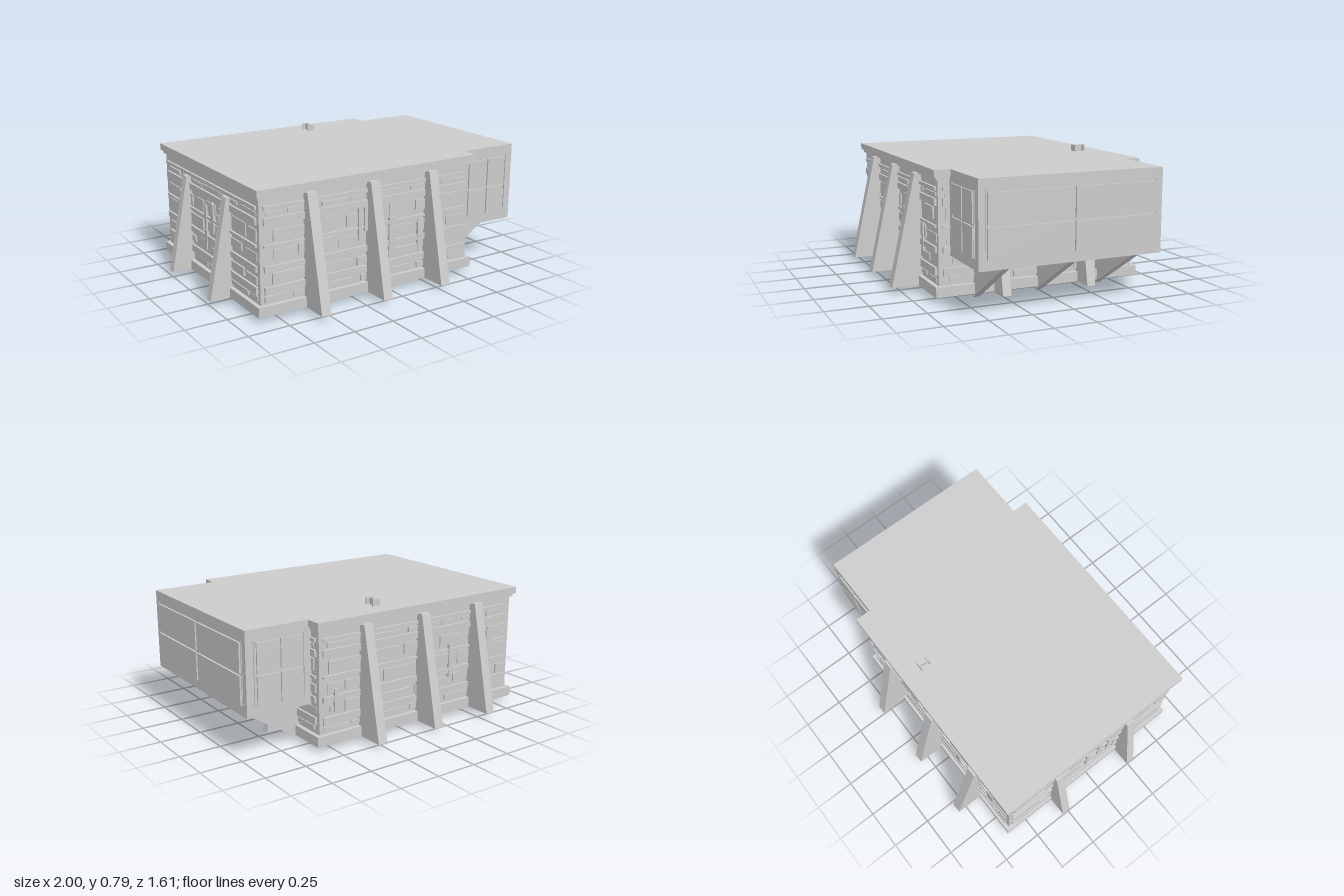
import * as THREE from 'three';

export function createModel() {
  const model = new THREE.Group();
  model.name = 'buttressedBuilding';
  const grey = new THREE.MeshStandardMaterial({ color: 0xcccccc });
  grey.name = 'light grey';

  let seed = 11;
  const rand = (a, b) => {
    seed = (seed * 16807) % 2147483647;
    return a + (b - a) * (seed / 2147483647);
  };

  const add = (parent, name, geometry) => {
    const mesh = new THREE.Mesh(geometry, grey);
    mesh.name = name;
    parent.add(mesh);
    return mesh;
  };
  // Box given by its limits on each axis
  const box = (parent, name, x0, x1, y0, y1, z0, z1) => {
    const m = add(parent, name, new THREE.BoxGeometry(x1 - x0, y1 - y0, z1 - z0));
    m.position.set((x0 + x1) / 2, (y0 + y1) / 2, (z0 + z1) / 2);
    return m;
  };
  // Flat outline extruded to a centred thickness
  const slab = (points, width) => {
    const shape = new THREE.Shape(points.map(([x, y]) => new THREE.Vector2(x, y)));
    return new THREE.ExtrudeGeometry(shape, { depth: width, bevelEnabled: false })
      .translate(0, 0, -width / 2);
  };

  // Main block: base, core, trim under the roof, and roof
  box(model, 'base', -0.88, 0.6, 0.03, 0.09, -0.645, 0.645);
  box(model, 'core', -0.855, 0.575, 0.08, 0.71, -0.62, 0.62);
  box(model, 'roofTrim', -0.867, 0.587, 0.685, 0.71, -0.635, 0.635);
  box(model, 'roof', -0.88, 0.6, 0.705, 0.745, -0.65, 0.65);

  // Wall cladding: long slats, with broken panels in the gaps between
  const slats = [[0.145, 0.19], [0.275, 0.31], [0.415, 0.43], [0.54, 0.58], [0.625, 0.645]];
  const gaps = [[0.1, 0.14], [0.197, 0.268], [0.317, 0.408], [0.437, 0.533], [0.587, 0.618]];
  const cladding = (wall, half) => {
    slats.forEach(([y0, y1]) => box(wall, 'slat', -half, half, y0, y1, -0.01, 0.013));
    gaps.forEach(([y0, y1]) => {
      let u = -half + rand(0, 0.06);
      while (u < half - 0.06) {
        const end = Math.min(u + rand(0.05, 0.26), half);
        const low = y0 + rand(0, 0.3) * (y1 - y0);
        const high = y1 - rand(0, 0.3) * (y1 - y0);
        box(wall, 'panel', u, end, low, high, -0.01, rand(0.005, 0.012));
        u = end + rand(0.012, 0.07);
      }
    });
    // Upright strips crossing several slats
    for (let i = 0; i < 5; i++) {
      const u = rand(-half + 0.05, half - 0.09);
      const y = rand(0.2, 0.4);
      box(wall, 'uprightStrip', u, u + rand(0.02, 0.045), y, y + rand(0.12, 0.25), -0.01, 0.016);
    }
  };

  // Sloping buttress, reaching out from the wall face along local z
  const buttress = (wall, u, foot, head, top, width) => {
    const geometry = slab([[-0.01, 0.03], [foot, 0.03], [head, top], [-0.01, top]], width);
    add(wall, 'buttress', geometry.rotateY(-Math.PI / 2)).position.x = u;
  };

  const walls = [
    ['frontWall', -0.14, 0.62, 0, true],
    ['backWall', -0.14, -0.62, Math.PI, true],
    ['leftWall', 0.575, 0, Math.PI / 2, false],
    ['rightWall', -0.855, 0, -Math.PI / 2, false],
  ];
  walls.forEach(([name, x, z, turn, long]) => {
    const wall = new THREE.Group();
    wall.name = name;
    wall.position.set(x, 0, z);
    wall.rotation.y = turn;
    model.add(wall);
    cladding(wall, long ? 0.692 : 0.595);
    if (long) [-0.412, 0, 0.412].forEach((u) => buttress(wall, u, 0.187, 0.042, 0.69, 0.06));
    else [-0.268, 0.268].forEach((u) => buttress(wall, u, 0.145, 0.03, 0.62, 0.052));
  });

  // Overhanging bay with raised four-pane windows
  box(model, 'bay', 0.58, 0.988, 0.26, 0.745, -0.553, 0.553);
  const paneRows = [[0.32, 0.488], [0.502, 0.672]];
  paneRows.forEach(([y0, y1]) => {
    [-1, 1].forEach((side) => {
      const z0 = side > 0 ? 0.008 : -0.505;
      box(model, 'endPane', 0.98, 1, y0, y1, z0, z0 + 0.497);
      [[0.638, 0.775], [0.788, 0.924]].forEach(([x0, x1]) => {
        box(model, 'sidePane', x0, x1, y0, y1, side * 0.557 - 0.005, side * 0.557 + 0.005);
      });
    });
  });
  // Slim upright window edging
  [-1, 1].forEach((side) => {
    box(model, 'endWindowEdge', 0.98, 0.992, 0.32, 0.685, side * 0.512 - 0.003, side * 0.512 + 0.003);
    [0.627, 0.938].forEach((x) => {
      box(model, 'sideWindowEdge', x - 0.003, x + 0.003, 0.32, 0.68, side * 0.555 - 0.004, side * 0.555 + 0.004);
    });
  });

  // Triangular brackets carrying the bay
  [-0.393, 0, 0.393].forEach((z) => {
    const bracket = slab([[0.565, 0], [0.985, 0.262], [0.565, 0.262]], 0.04);
    add(model, 'bayBracket', bracket).position.z = z;
  });

  // Small I-shaped vent on the roof
  box(model, 'ventFlange', 0.095, 0.145, 0.74, 0.785, -0.53, -0.522);
  box(model, 'ventFlange', 0.095, 0.145, 0.74, 0.785, -0.47, -0.462);
  box(model, 'ventWeb', 0.115, 0.125, 0.74, 0.785, -0.525, -0.467);

  return model;
}
